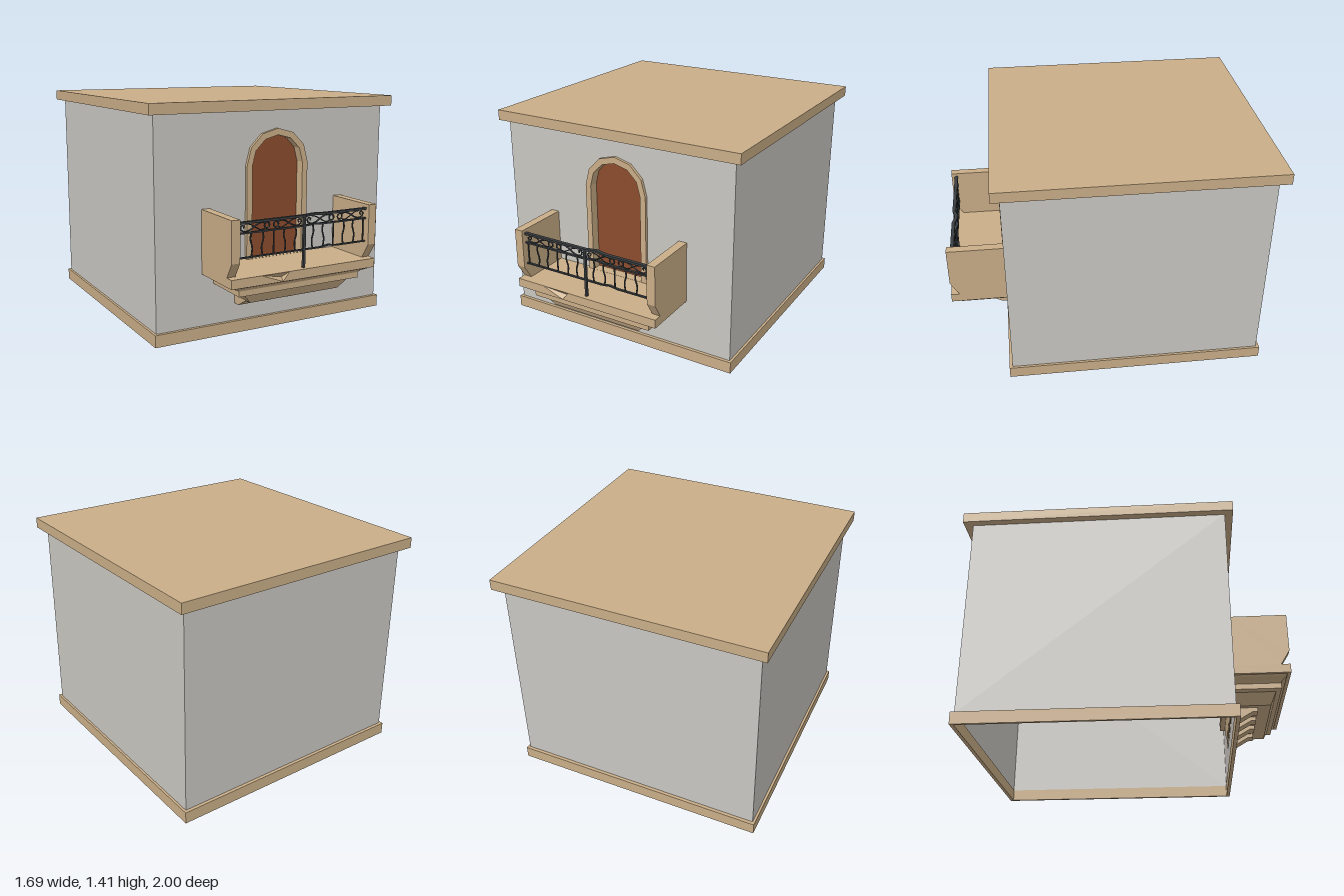
import * as THREE from 'three';

const mat = (name, color, side = THREE.FrontSide) => {
  const m = new THREE.MeshStandardMaterial({ color, side });
  m.name = name;
  return m;
};

export function createModel() {
  const root = new THREE.Group();
  const stone = mat('sandstone', 0xc9ad87);
  const plaster = mat('plaster', 0xc9c6c1, THREE.DoubleSide);
  const wood = mat('doorWood', 0x8b4c2e);
  const iron = mat('iron', 0x3a3e41);
  const rim = mat('innerDoorWood', 0xa8552f);

  const add = (name, geo, material, parent = root) => {
    const m = new THREE.Mesh(geo, material);
    m.name = name;
    parent.add(m);
    return m;
  };
  const group = (name) => {
    const g = new THREE.Group();
    g.name = name;
    root.add(g);
    return g;
  };
  // Box given by its lower and upper limits on each axis
  const box = (name, x0, x1, y0, y1, z0, z1, material, parent) =>
    add(name, new THREE.BoxGeometry(x1 - x0, y1 - y0, z1 - z0)
      .translate((x0 + x1) / 2, (y0 + y1) / 2, (z0 + z1) / 2), material, parent);
  const shape = (pts) => new THREE.Shape(pts.map(([x, y]) => new THREE.Vector2(x, y)));
  const extrude = (s, depth) => new THREE.ExtrudeGeometry(s, { depth, bevelEnabled: false });
  // Extrudes a (z, y) side profile across x0..x1
  const sideProfile = (pts, x0, x1) =>
    extrude(shape(pts.map(([z, y]) => [-z, y])), x1 - x0).rotateY(Math.PI / 2).translate(x0, 0, 0);
  // Flat-shaded geometry from corner points and triangle indices
  const faceted = (pts, index) => {
    const g = new THREE.BufferGeometry();
    g.setAttribute('position', new THREE.Float32BufferAttribute(pts.flat(), 3));
    g.setIndex(index);
    const flat = g.toNonIndexed();
    flat.computeVertexNormals();
    return flat;
  };
  // Doorway outline: straight jambs and a six-sided arch
  const doorway = (w, top, bottom = 0.45, cx = 0.007, spring = 1.02) => {
    const pts = [[cx - w, bottom], [cx + w, bottom]];
    for (let i = 0; i <= 6; i++) {
      const a = (i / 6) * Math.PI;
      pts.push([cx + w * Math.cos(a), spring + (top - spring) * Math.sin(a)]);
    }
    return pts;
  };

  // Building shell, open underneath
  const walls = group('walls');
  const front = shape([[-0.8, 0.07], [0.795, 0.07], [0.795, 1.35], [-0.8, 1.35]]);
  front.holes.push(shape(doorway(0.21, 1.23)));
  add('frontWall', new THREE.ShapeGeometry(front).translate(0, 0, 0.64), plaster, walls);
  const plane = (w) => new THREE.PlaneGeometry(w, 1.28);
  add('backWall', plane(1.595).rotateY(Math.PI).translate(-0.0025, 0.71, -0.945), plaster, walls);
  add('leftWall', plane(1.585).rotateY(Math.PI / 2).translate(0.795, 0.71, -0.1525), plaster, walls);
  add('rightWall', plane(1.585).rotateY(-Math.PI / 2).translate(-0.8, 0.71, -0.1525), plaster, walls);
  box('roofSlab', -0.845, 0.845, 1.345, 1.41, -1, 0.69, stone);
  const ring = shape([[-0.815, -0.66], [0.81, -0.66], [0.81, 0.965], [-0.815, 0.965]]);
  ring.holes.push(shape([[-0.797, -0.637], [0.792, -0.637], [0.792, 0.942], [-0.797, 0.942]]));
  add('basePlinth', extrude(ring, 0.075).rotateX(-Math.PI / 2), stone);

  // Arched door with surround and inner panels
  const door = group('door');
  const surround = shape(doorway(0.215, 1.235));
  surround.holes.push(shape(doorway(0.178, 1.195, 0.451)));
  add('doorSurround', extrude(surround, 0.075).translate(0, 0, 0.585), stone, door);
  add('doorLeaf', extrude(shape(doorway(0.179, 1.196)), 0.01).translate(0, 0, 0.59), wood, door);
  add('doorInnerFace', extrude(shape(doorway(0.179, 1.196)), 0.005).translate(0, 0, 0.585), rim, door);
  for (const x of [-0.075, 0.09])
    for (const y of [0.58, 0.78, 0.98])
      box('innerPanel', x - 0.06, x + 0.06, y - 0.08, y + 0.08, 0.578, 0.585, iron, door);

  // Balcony slab with a chipped front edge
  const balcony = group('balcony');
  const L = -0.502, R = 0.493, B = 0.395, T = 0.45;
  add('balconySlab', faceted([
    [L, B, 1], [R, B, 1], [R, T, 1], [L, T, 1],
    [L, B, 0.6], [R, B, 0.6], [R, T, 0.6], [L, T, 0.6],
    [-0.31, T, 1], [-0.12, T, 1], [-0.165, 0.397, 1], [-0.155, 0.415, 0.965],
  ], [
    0, 1, 10, 1, 2, 9, 1, 9, 10, 0, 10, 8, 0, 8, 3,
    8, 11, 9, 8, 10, 11, 10, 9, 11,
    3, 8, 7, 8, 9, 7, 9, 6, 7, 9, 2, 6,
    0, 4, 5, 0, 5, 1, 1, 5, 6, 1, 6, 2, 0, 3, 7, 0, 7, 4, 5, 4, 7, 5, 7, 6,
  ]), stone, balcony);

  // Side parapets, undercut at the front
  const parapet = [[0.6, 0.45], [0.945, 0.45], [1, 0.54], [1, 0.785], [0.64, 0.785]];
  add('rightParapet', sideProfile(parapet, L, -0.448), stone, balcony);
  add('leftParapet', sideProfile(parapet, 0.439, R), stone, balcony);

  // Stepped moulding: each row is half width, front z, height
  const cx = -0.005;
  const rows = [[0.31, 0.885, 0.26], [0.37, 0.915, 0.325], [0.418, 0.945, 0.326],
    [0.418, 0.945, 0.36], [0.432, 0.95, 0.37], [0.47, 0.975, 0.385], [0.48, 0.98, 0.396]];
  const pts = [], idx = [0, 3, 2, 0, 2, 1];
  rows.forEach(([w, z, y], i) => {
    pts.push([cx - w, y, z], [cx + w, y, z], [cx + w, y, 0.635], [cx - w, y, 0.635]);
    if (i) for (let k = 0; k < 4; k++) {
      const a = (i - 1) * 4 + k, b = (i - 1) * 4 + (k + 1) % 4;
      idx.push(a, b, b + 4, a, b + 4, a + 4);
    }
  });
  add('balconyMoulding', faceted(pts, idx), stone, balcony);

  // Corbels beneath the balcony
  for (let i = 0; i < 4; i++) {
    const x = cx + (i - 1.5) * 0.158;
    add('corbel', sideProfile([[0.635, 0.185], [0.69, 0.185], [0.775, 0.235], [0.805, 0.235],
      [0.805, 0.262], [0.635, 0.262]], x - 0.04, x + 0.04), stone, balcony);
  }

  // Iron railing
  const rail = group('railing');
  const z = 0.967;
  // Flat bar following points, of the given height and depth
  const bar = (name, points, h, d) => {
    for (let i = 1; i < points.length; i++) {
      const a = new THREE.Vector3(...points[i - 1]), b = new THREE.Vector3(...points[i]);
      const m = add(name, new THREE.BoxGeometry(h, d, a.distanceTo(b)), iron, rail);
      m.position.copy(a).add(b).multiplyScalar(0.5);
      m.lookAt(b);
    }
  };
  const bent = (y, dy) => [[-0.45, y, z], [0, y, z], [0.07, y + dy, z - 0.017], [0.14, y, z], [0.44, y, z]];
  bar('topRail', bent(0.758, 0), 0.022, 0.013);
  bar('middleRail', bent(0.699, 0), 0.016, 0.009);
  bar('bottomRail', [[-0.45, 0.558, z], [0.11, 0.558, z], [0.17, 0.566, z], [0.22, 0.558, z], [0.44, 0.558, z]],
    0.014, 0.008);
  box('centrePost', cx - 0.007, cx + 0.007, 0.45, 0.765, z - 0.008, z + 0.008, iron, rail);
  const tube = (name, points, r = 0.005) => add(name, new THREE.TubeGeometry(
    new THREE.CatmullRomCurve3(points.map(([x, y]) => new THREE.Vector3(x, y, z))), 14, r, 5), iron, rail);
  for (const half of [-1, 1]) {
    // Slightly bent balusters
    for (let i = 0; i < 6; i++) {
      const x = cx + half * (0.06 + i * 0.0735), k = ((i * 5) % 3 - 1) * 0.006;
      tube('baluster', [[x, 0.555], [x + k, 0.61], [x - k, 0.66], [x, 0.7]]);
    }
    // Scrolls mirrored about the middle of each half
    const mid = cx + half * 0.222;
    for (const s of [-1, 1]) {
      add('scrollRing', new THREE.TorusGeometry(0.017, 0.005, 5, 14).translate(mid + s * 0.03, 0.729, z), iron, rail);
      tube('scroll', [[0.04, 0.742], [0.065, 0.75], [0.1, 0.738], [0.14, 0.714], [0.175, 0.707],
        [0.2, 0.72], [0.2, 0.739], [0.184, 0.744], [0.175, 0.733], [0.184, 0.725]]
        .map(([u, y]) => [mid + s * u, y]));
      tube('scrollBranch', [[0.04, 0.714], [0.07, 0.708], [0.1, 0.722], [0.14, 0.745], [0.17, 0.75]]
        .map(([u, y]) => [mid + s * u, y]), 0.0035);
    }
  }
  return root;
}
